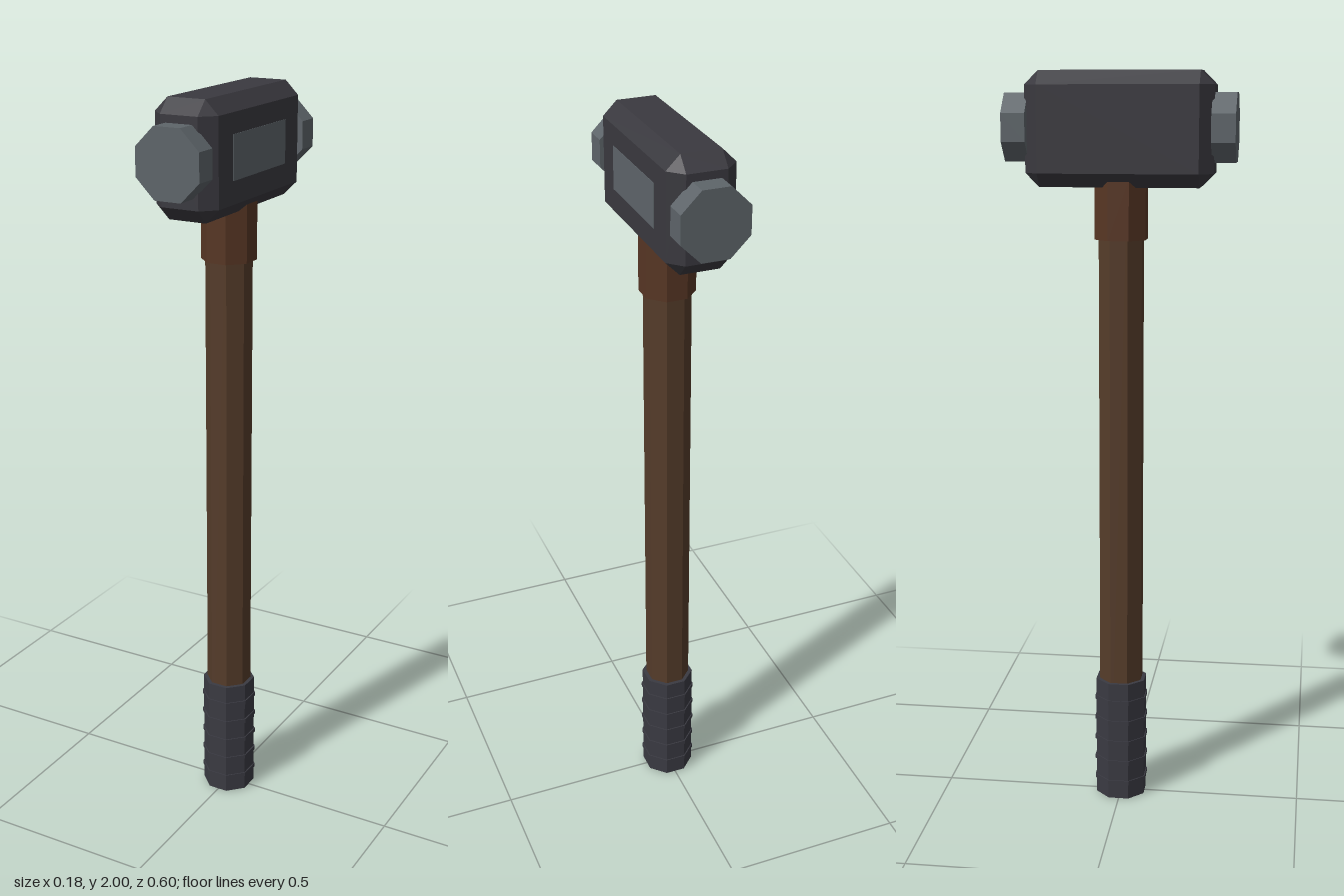
import * as THREE from 'three';
import { ConvexGeometry } from 'three/addons/geometries/ConvexGeometry.js';

const makeMaterial = (name, color) => {
  const m = new THREE.MeshStandardMaterial({ color, flatShading: true });
  m.name = name;
  return m;
};

// Eight-sided prism standing on y0, with flats facing the axes; r is the distance to a flat
function octagonPrism(r, y0, y1) {
  const R = r / Math.cos(Math.PI / 8);
  const g = new THREE.CylinderGeometry(R, R, y1 - y0, 8);
  g.rotateY(Math.PI / 8);
  g.translate(0, (y0 + y1) / 2, 0);
  return g;
}

// Box with every edge cut at 45 degrees
function chamferedBox(hx, hy, hz, c) {
  const points = [];
  for (const sx of [-1, 1]) for (const sy of [-1, 1]) for (const sz of [-1, 1]) {
    points.push(
      new THREE.Vector3(sx * hx, sy * (hy - c), sz * (hz - c)),
      new THREE.Vector3(sx * (hx - c), sy * hy, sz * (hz - c)),
      new THREE.Vector3(sx * (hx - c), sy * (hy - c), sz * hz)
    );
  }
  return new ConvexGeometry(points);
}

export function createModel() {
  const group = new THREE.Group();
  group.name = 'sledgehammer';
  const iron = makeMaterial('dark iron', 0x3a393f);
  const steel = makeMaterial('worn steel', 0x5e656a);
  const wood = makeMaterial('brown wood', 0x553c2a);
  const collarWood = makeMaterial('reddish wood', 0x573624);
  const rubber = makeMaterial('grip rubber', 0x3a3a42);

  const add = (name, geometry, material) => {
    const mesh = new THREE.Mesh(geometry, material);
    mesh.name = name;
    group.add(mesh);
    return mesh;
  };

  // Shaft and the collar below the head
  add('handle', octagonPrism(0.057, 0, 1.75), wood);
  add('collar', octagonPrism(0.067, 1.57, 1.73), collarWood);

  // Grip with raised rings
  add('grip', octagonPrism(0.067, 0.002, 0.345), rubber);
  for (let i = 0; i < 5; i++) {
    const y = 0.05 + i * 0.06;
    add('gripRing' + (i + 1), octagonPrism(0.07, y - 0.006, y + 0.006), rubber);
  }

  // Head
  const headY = 1.853;
  add('head', chamferedBox(0.0875, 0.147, 0.244, 0.036), iron).position.y = headY;

  // Striking faces at both ends
  for (const [name, s] of [['frontStrikingFace', 1], ['backStrikingFace', -1]]) {
    const g = octagonPrism(0.0875, -0.031, 0.031);
    g.rotateX(Math.PI / 2);
    add(name, g, steel).position.set(0, 1.857, s * 0.269);
  }

  // Thin plate on the left cheek
  add('sidePlate', new THREE.BoxGeometry(0.004, 0.112, 0.274), steel).position.set(0.0868, 1.856, 0);

  return group;
}
